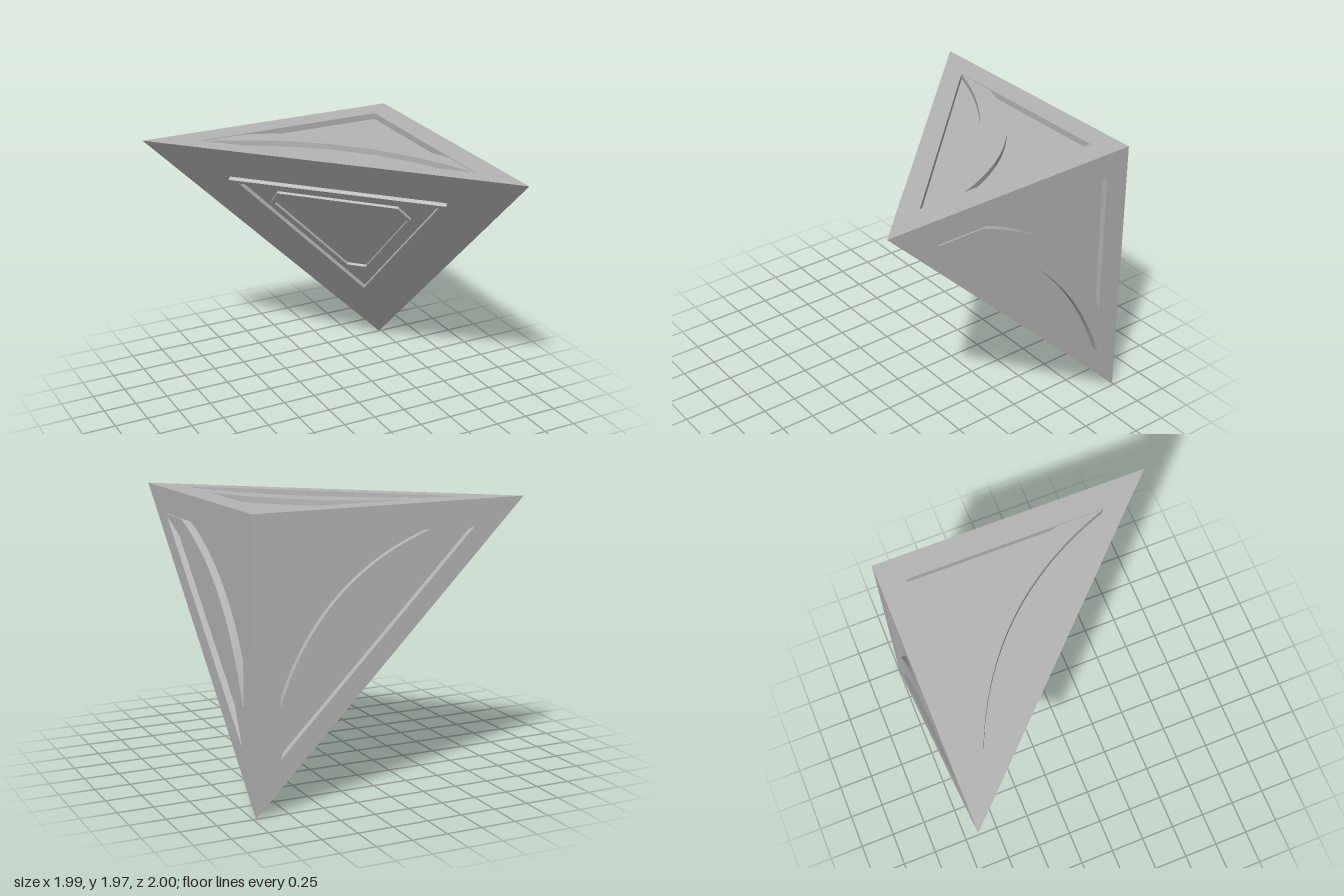
import * as THREE from 'three';

// The four corners: the square corner and the three tips
const A = new THREE.Vector3(0.975, 1.97, -0.975);
const B = new THREE.Vector3(-1, 1.97, -0.975);
const C = new THREE.Vector3(0.98, 0, -1);
const D = new THREE.Vector3(0.975, 1.94, 1);
const LEG = 1.975, DEPTH = 0.045;

const pts = list => list.map(([x, y]) => new THREE.Vector2(x, y));

// Basis of a face: u and v run along two edges from the origin, w points outwards
function faceMatrix(o, p, q) {
  const e1 = p.clone().sub(o).divideScalar(LEG);
  const e2 = q.clone().sub(o).divideScalar(LEG);
  const n = e1.clone().cross(e2).normalize();
  return new THREE.Matrix4().makeBasis(e1, e2, n).setPosition(o);
}

// Walls round a recess, facing inwards; the outline runs anticlockwise
function recessWalls(outline, depth) {
  const pos = [];
  outline.forEach((a, i) => {
    const b = outline[(i + 1) % outline.length];
    pos.push(a.x, a.y, 0, b.x, b.y, 0, b.x, b.y, -depth);
    pos.push(a.x, a.y, 0, b.x, b.y, -depth, a.x, a.y, -depth);
  });
  const g = new THREE.BufferGeometry();
  g.setAttribute('position', new THREE.Float32BufferAttribute(pos, 3));
  g.computeVertexNormals();
  return g;
}

// Outline shrunk towards a centre
const shrink = (outline, c, k) => outline.map(p => p.clone().sub(c).multiplyScalar(k).add(c));

export function createModel() {
  const model = new THREE.Group();
  const grey = new THREE.MeshStandardMaterial({ color: 0xb4b4b4 });
  grey.name = 'lightGrey';

  const add = (parent, name, geometry, matrix) => {
    geometry.applyMatrix4(matrix);
    const mesh = new THREE.Mesh(geometry, grey);
    mesh.name = name;
    parent.add(mesh);
  };

  const triangle = pts([[0, 0], [LEG, 0], [0, LEG]]);
  const recess = pts([[0.18, 0.18], [1.6, 0.18], [0.18, 1.6]]);

  // Crescent band between two arcs
  const band = new THREE.Shape();
  band.moveTo(1.26, 0.181);
  band.lineTo(1.596, 0.181);
  band.quadraticCurveTo(0.55, 0.55, 0.181, 1.596);
  band.lineTo(0.181, 1.26);
  band.quadraticCurveTo(0.45, 0.45, 1.26, 0.181);

  // Three square faces, each with a sunken triangle and a curved band
  const squareFaces = [
    ['topFace', B, D, 0.04],
    ['sideFace', D, C, 0.055],
    ['backFace', C, B, 0.04],
  ];
  for (const [name, p, q, bandHeight] of squareFaces) {
    const face = new THREE.Group();
    face.name = name;
    const m = faceMatrix(A, p, q);

    const frame = new THREE.Shape(triangle);
    frame.holes.push(new THREE.Path(recess));
    add(face, 'frame', new THREE.ShapeGeometry(frame), m);
    add(face, 'recessWalls', recessWalls(recess, DEPTH), m);
    add(face, 'recessFloor',
      new THREE.ShapeGeometry(new THREE.Shape(recess)).translate(0, 0, -DEPTH), m);
    add(face, 'curvedBand', new THREE.ExtrudeGeometry(band, {
      depth: bandHeight, bevelEnabled: false, curveSegments: 32,
    }).translate(0, 0, -DEPTH), m);
    model.add(face);
  }

  // Sloping face with two raised outlines
  const slope = new THREE.Group();
  slope.name = 'slopingFace';
  const m = faceMatrix(D, B, C);
  add(slope, 'slopingPanel', new THREE.ShapeGeometry(new THREE.Shape(triangle)), m);

  const ridges = [
    ['outerRidge', pts([[0.285, 0.27], [1.425, 0.27], [0.285, 1.42]]),
      new THREE.Vector2(0.62, 0.61), 0.92, 0.03],
    ['innerRidge', pts([[0.385, 0.48], [0.495, 0.37], [1.135, 0.365],
      [1.135, 0.475], [0.495, 1.12], [0.385, 1.12]]),
      new THREE.Vector2(0.64, 0.63), 0.95, 0.02],
  ];
  for (const [name, outline, centre, k, height] of ridges) {
    const ring = new THREE.Shape(outline);
    ring.holes.push(new THREE.Path(shrink(outline, centre, k)));
    add(slope, name, new THREE.ExtrudeGeometry(ring, { depth: height, bevelEnabled: false }), m);
  }
  model.add(slope);
  return model;
}
